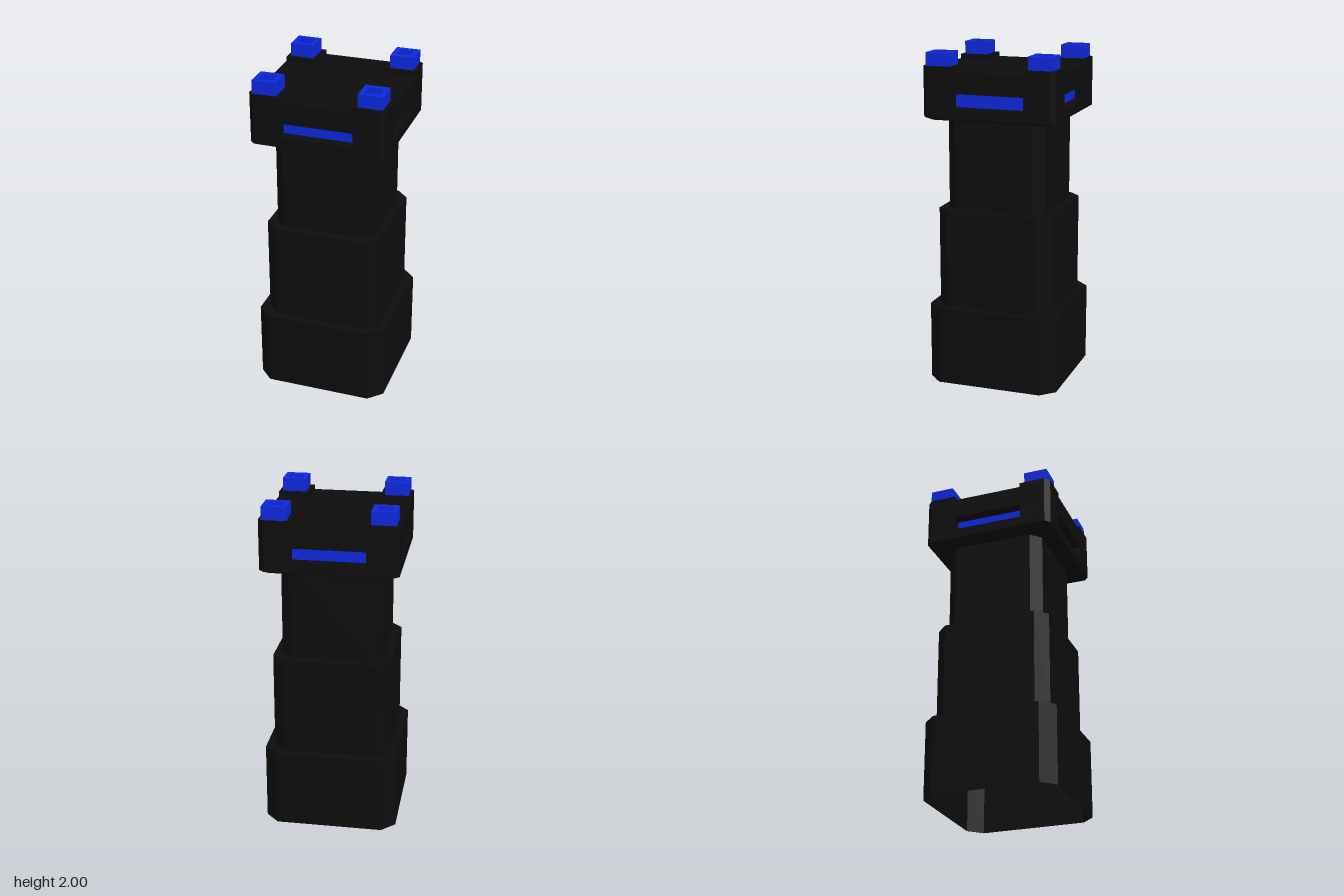
import * as THREE from 'three';

const black = new THREE.MeshStandardMaterial({ color: 0x0d0d0d });
const blue = new THREE.MeshStandardMaterial({ color: 0x0c28e0 });

// Square plan with cut corners; optional notch (half width, depth) in each side
function plan(half, cut, notch) {
  const side = [[half, -half + cut]];
  if (notch) {
    const [s, d] = notch;
    side.push([half, -s], [half - d, -s], [half - d, s], [half, s]);
  }
  side.push([half, half - cut]);
  const points = [];
  for (let k = 0; k < 4; k++) {
    for (const [x, y] of side) {
      points.push(new THREE.Vector2(x, y).rotateAround(new THREE.Vector2(), k * Math.PI / 2));
    }
  }
  return new THREE.Shape(points);
}

// Upright prism of a plan between two heights
function prism(shape, y0, y1) {
  const g = new THREE.ExtrudeGeometry(shape, { depth: y1 - y0, bevelEnabled: false });
  return g.rotateX(-Math.PI / 2).translate(0, y0, 0);
}

export function createModel() {
  const group = new THREE.Group();
  const add = (name, geometry, material = black) => {
    const mesh = new THREE.Mesh(geometry, material);
    mesh.name = name;
    group.add(mesh);
    return mesh;
  };

  // Base: hollow shell, open underneath
  const shell = plan(0.4, 0.08);
  shell.holes.push(plan(0.397, 0.079));
  add('baseWalls', prism(shell, 0, 0.472));
  add('baseTop', prism(plan(0.399, 0.08), 0.467, 0.472));

  // Stepped shaft
  add('lowerShaft', prism(plan(0.35, 0.07), 0.47, 1.065));
  add('upperShaft', prism(plan(0.3, 0.06), 1.06, 1.62));

  // Head: bevelled underside, then slabs below, around and above the slots
  const half = 0.4, cut = 0.03, slot = 0.215, depth = 0.07;
  const bevel = prism(plan(half, cut), 1.61, 1.625);
  const pos = bevel.attributes.position;
  for (let i = 0; i < pos.count; i++) {
    if (pos.getY(i) < 1.615) pos.setXYZ(i, pos.getX(i) * 0.93, pos.getY(i), pos.getZ(i) * 0.93);
  }
  bevel.computeVertexNormals();
  add('headBevel', bevel);
  add('headLower', prism(plan(half, cut), 1.625, 1.685));
  add('headSlots', prism(plan(half, cut, [slot, depth]), 1.685, 1.77));
  add('headUpper', prism(plan(half, cut), 1.77, 1.895));

  // Corner pad, and square ring standing on it
  const inner = 0.213;
  const pad = new THREE.Shape([
    [inner, inner], [half, inner], [half, half - cut], [half - cut, half], [inner, half],
  ].map(([x, y]) => new THREE.Vector2(x, y)));
  const ring = plan(0.0715, 0);
  ring.holes.push(plan(0.042, 0));

  for (let k = 0; k < 4; k++) {
    const turn = k * Math.PI / 2;
    add('slotLight', new THREE.BoxGeometry(2 * slot, 0.085, 0.01)
      .translate(0, 1.7275, half - depth).rotateY(turn), blue);
    add('cornerPad', prism(pad, 1.895, 1.922).rotateY(turn));
    add('cornerRing', prism(ring, 1.922, 2).translate(0.309, 0, 0.309).rotateY(turn), blue);
  }
  return group;
}
